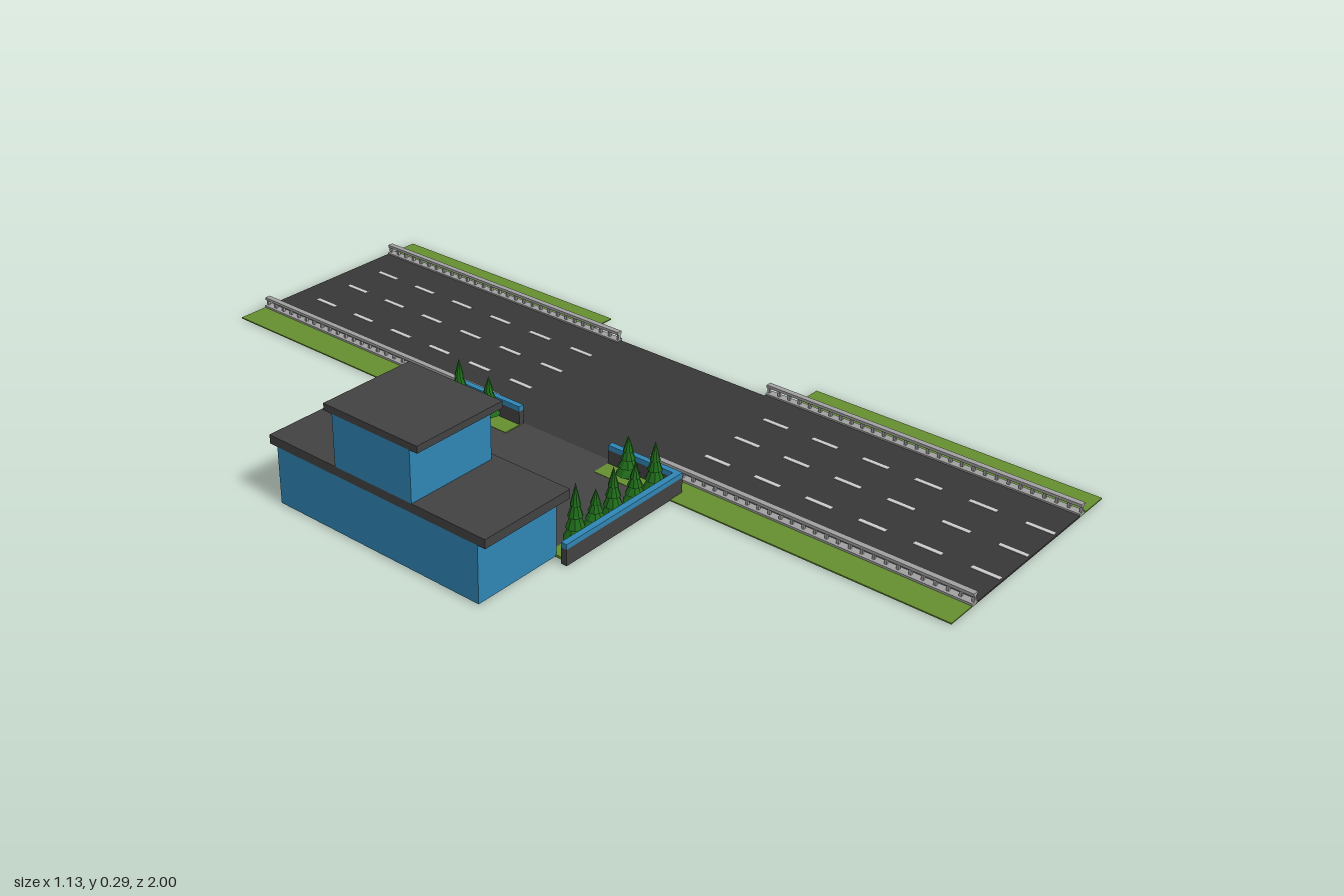
import * as THREE from 'three';

const mat = (color) => new THREE.MeshStandardMaterial({ color, flatShading: true });
const M = {
  blue: mat(0x2f86b5), roof: mat(0x424242), road: mat(0x383838), grass: mat(0x668f2f),
  paving: mat(0x444444), metal: mat(0xa0a0a0), white: mat(0xcccccc), dark: mat(0x333a40),
  glass: mat(0x62b8c4), leaf: mat(0x1f6b1a), trunk: mat(0x4a3018),
};

// Box given by its min and max on each axis
function box(parent, name, material, x0, x1, y0, y1, z0, z1) {
  const m = new THREE.Mesh(new THREE.BoxGeometry(x1 - x0, y1 - y0, z1 - z0), material);
  m.position.set((x0 + x1) / 2, (y0 + y1) / 2, (z0 + z1) / 2);
  m.name = name;
  parent.add(m);
  return m;
}

function group(parent, name) {
  const g = new THREE.Group();
  g.name = name;
  parent.add(g);
  return g;
}

// Guard rail along z: kerb, posts and a top rail
function guardRail(parent, x, z0, z1) {
  const g = group(parent, 'guardRail');
  box(g, 'kerb', M.metal, x - 0.01, x + 0.01, 0.002, 0.009, z0, z1);
  box(g, 'topRail', M.metal, x - 0.007, x + 0.007, 0.023, 0.03, z0, z1);
  const n = 28, step = (z1 - z0 - 0.006) / n;
  for (let i = 0; i <= n; i++) {
    const z = z0 + 0.003 + i * step;
    box(g, 'railPost', M.metal, x - 0.003, x + 0.003, 0.008, 0.024, z - 0.003, z + 0.003);
  }
}

// Conifer of stacked cones
function tree(parent, x, z, h) {
  const g = group(parent, 'tree');
  const trunk = new THREE.Mesh(new THREE.CylinderGeometry(0.005, 0.005, 0.03, 6), M.trunk);
  trunk.position.y = 0.015;
  trunk.name = 'trunk';
  g.add(trunk);
  const tiers = 4, base = 0.02;
  for (let i = 0; i < tiers; i++) {
    const y0 = base + (h - base) * i * 0.2;
    const y1 = i === tiers - 1 ? h : y0 + (h - base) * 0.42;
    const cone = new THREE.Mesh(new THREE.ConeGeometry(0.026 - i * 0.0048, y1 - y0, 9), M.leaf);
    cone.position.y = (y0 + y1) / 2;
    cone.rotation.y = i * 0.5;
    cone.name = 'foliage';
    g.add(cone);
  }
  g.position.set(x, 0, z);
}

// Roller door facing +x
function rollerDoor(parent, z0, z1) {
  const g = group(parent, 'rollerDoor');
  box(g, 'doorFrame', M.dark, -0.345, -0.333, 0.005, 0.108, z0 - 0.007, z1 + 0.007);
  for (let i = 0; i < 5; i++) {
    const y = 0.007 + i * 0.0185;
    box(g, 'doorSlat', M.white, -0.34, -0.33, y, y + 0.014, z0, z1);
  }
}

export function createModel() {
  const model = new THREE.Group();
  model.name = 'roadsideStation';

  // Road: two marked stretches and a plain junction
  const road = group(model, 'road');
  box(road, 'backRoad', M.road, 0.045, 0.465, 0.001, 0.005, -1, -0.215);
  box(road, 'junction', M.road, 0.005, 0.467, 0.001, 0.005, -0.215, 0.21);
  box(road, 'frontRoad', M.road, 0.06, 0.475, 0.001, 0.005, 0.21, 1);
  for (const [x0, z0] of [[0.143, -0.934], [0.161, 0.275]])
    for (let lane = 0; lane < 3; lane++)
      for (let i = 0; i < 6; i++) {
        const x = x0 + lane * 0.107, z = z0 + i * 0.131;
        box(road, 'laneDash', M.white, x - 0.005, x + 0.005, 0, 0.006, z, Math.min(z + 0.065, 1));
      }

  // Verges
  box(model, 'verge', M.grass, -0.05, 0.045, 0.001, 0.004, -1, -0.215);
  box(model, 'verge', M.grass, 0.465, 0.545, 0.001, 0.004, -1, -0.31);
  box(model, 'verge', M.grass, -0.03, 0.06, 0.001, 0.004, 0.21, 1);
  box(model, 'verge', M.grass, 0.475, 0.567, 0.001, 0.004, 0.285, 1);

  // Guard rails
  guardRail(model, 0.036, -1, -0.215);
  guardRail(model, 0.462, -1, -0.215);
  guardRail(model, 0.054, 0.21, 1);
  guardRail(model, 0.481, 0.21, 1);

  // Forecourt
  box(model, 'forecourt', M.paving, -0.345, -0.05, 0.001, 0.006, -0.25, 0.272);
  box(model, 'forecourtEntry', M.paving, -0.05, 0.01, 0.001, 0.006, -0.115, 0.14);

  // Planting beds, walls and trees, mirrored about the forecourt axis
  const axis = 0.011;
  const heights = [0.147, 0.105, 0.132, 0.112, 0.132];
  const xs = [-0.287, -0.225, -0.17, -0.1, -0.035];
  for (const s of [-1, 1]) {
    const g = group(model, 'planter');
    const strip = (name, m, x0, x1, y0, y1, a, b) =>
      box(g, name, m, x0, x1, y0, y1, axis + Math.min(s * a, s * b), axis + Math.max(s * a, s * b));
    strip('bedGrass', M.grass, -0.345, 0, 0.001, 0.007, 0.261, 0.305);
    strip('bedGrass', M.grass, -0.05, 0, 0.001, 0.007, 0.128, 0.261);
    for (const [name, m, y0, y1] of [['wallBase', M.roof, 0.002, 0.04], ['wallCap', M.blue, 0.04, 0.052]]) {
      strip(name, m, -0.357, 0.01, y0, y1, 0.303, 0.318);
      strip(name, m, -0.004, 0.01, y0, y1, 0.128, 0.303);
    }
    xs.forEach((x, i) => tree(g, x, axis + s * 0.28, heights[i]));
    tree(g, -0.025, axis + s * 0.2, 0.112);
  }

  // Building: garage floor and upper room, each under a flat roof
  const building = group(model, 'building');
  box(building, 'groundFloor', M.blue, -0.567, -0.342, 0.003, 0.136, -0.27, 0.29);
  box(building, 'lowerRoof', M.roof, -0.567, -0.325, 0.136, 0.157, -0.292, 0.31);
  box(building, 'upperRoom', M.blue, -0.567, -0.342, 0.157, 0.276, -0.097, 0.117);
  box(building, 'upperRoof', M.roof, -0.567, -0.33, 0.276, 0.292, -0.12, 0.138);
  rollerDoor(building, -0.06, 0.08);
  rollerDoor(building, -0.232, -0.112);
  rollerDoor(building, 0.132, 0.252);

  // Window band with four panes
  box(building, 'windowFrame', M.dark, -0.345, -0.338, 0.18, 0.258, -0.081, 0.101);
  for (let i = 0; i < 4; i++) {
    const z = -0.076 + i * 0.0435;
    box(building, 'windowPane', M.glass, -0.342, -0.336, 0.185, 0.253, z, z + 0.0385);
  }
  return model;
}
